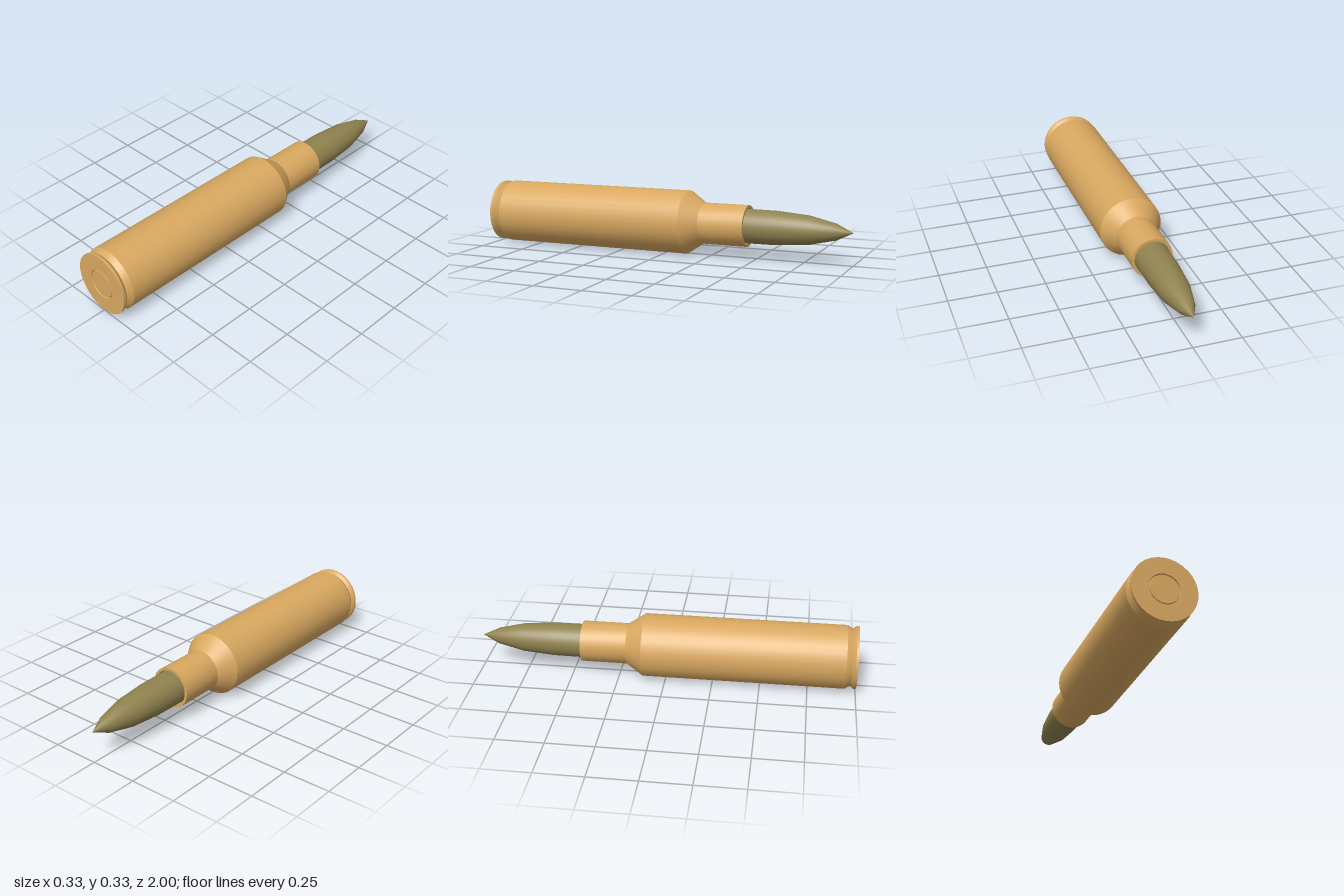
import * as THREE from 'three';
import { toCreasedNormals } from 'three/addons/utils/BufferGeometryUtils.js';

const SIDES = 32;
const AXIS_Y = 0.168;

// Turn a [radius, distance toward the tip] profile around the long axis
function turned(name, profile, material, creased) {
  let geometry = new THREE.LatheGeometry(profile.map(([r, d]) => new THREE.Vector2(r, d)), SIDES);
  geometry.rotateX(-Math.PI / 2);
  if (creased) geometry = toCreasedNormals(geometry, 0.35);
  const mesh = new THREE.Mesh(geometry, material);
  mesh.name = name;
  mesh.position.y = AXIS_Y;
  return mesh;
}

export function createModel() {
  const brass = new THREE.MeshStandardMaterial({ color: 0xd9a860 });
  brass.name = 'brass';
  const olive = new THREE.MeshStandardMaterial({ color: 0x90824f });
  olive.name = 'olive metal';

  const group = new THREE.Group();
  group.name = 'cartridge';

  // Case: flat base, rim, extractor groove, body, shoulder, neck and mouth
  group.add(turned('case', [
    [0.076, -0.992], [0.079, -1], [0.164, -1], [0.164, -0.987],
    [0.15, -0.97], [0.167, -0.94],
    [0.167, 0.118], [0.108, 0.207],
    [0.108, 0.45], [0.094, 0.45], [0.094, 0.4], [0.085, 0.4],
  ], brass, true));

  // Primer: round cap set in a shallow groove in the base
  group.add(turned('primer', [
    [0, -0.999], [0.073, -0.999], [0.076, -0.992],
  ], brass, true));

  // Projectile: smooth taper to a point
  group.add(turned('projectile', [
    [0.089, 0.38], [0.089, 0.45], [0.088, 0.6], [0.075, 0.77], [0.043, 0.91], [0, 1],
  ], olive, false));

  return group;
}
